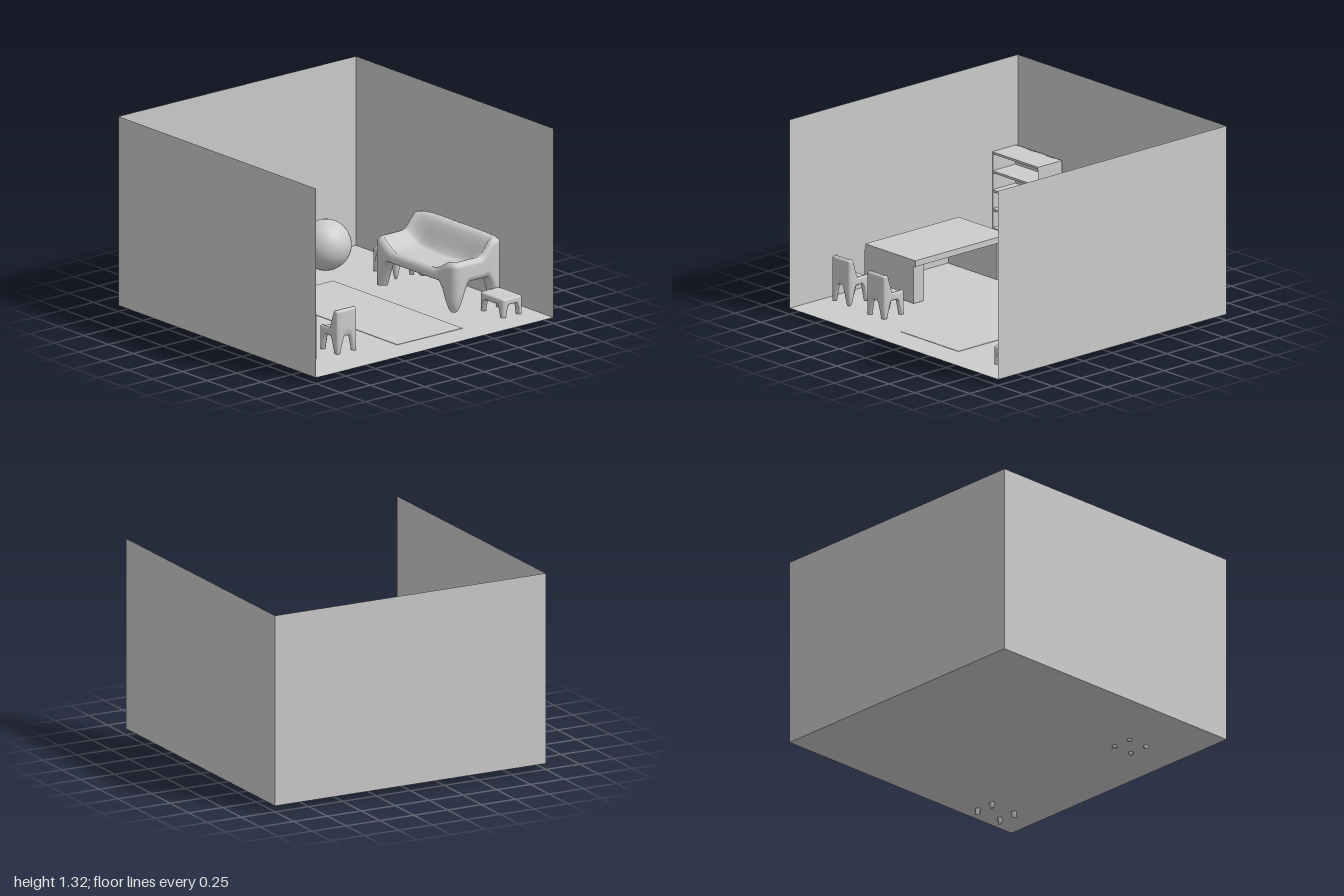
import * as THREE from 'three';

const grey = new THREE.MeshStandardMaterial({ color: 0xcccccc });
grey.name = 'light grey';
grey.side = THREE.DoubleSide;

const smooth = (a, b, v) => THREE.MathUtils.smoothstep(v, a, b);

// One-piece moulded seat: rings run from the middle of the top, over the rim,
// down the skirt to the arched legs and back along the underside. Its back is at -z.
function mouldedGeometry({ w, d, foot, arch, seat, back = seat, dip = 0, leg, wall, rim }) {
  const hw = w / 2, hd = d / 2, N = 96;
  const outline = [];
  for (let i = 0; i < N; i++) {
    const side = Math.floor(i / (N / 4)), t = (i % (N / 4)) / (N / 8) - 1;
    const [px, pz] = [[1, -t], [-t, -1], [-1, t], [t, 1]][side];
    const k = (px ** 8 + pz ** 8) ** (-1 / 8);
    outline.push([px * k, pz * k]);
  }
  const top = (u, v) => {
    const rise = smooth(0.1, 0.72, -v);
    const hollow = dip * (1 - smooth(0.5, 0.95, Math.abs(u))) * (1 - rise);
    return seat - hollow + (back - seat) * rise;
  };
  const bottom = (u, v) => {
    const fromCorner = Math.max(hw * (1 - Math.abs(u)), hd * (1 - Math.abs(v)));
    return foot + (arch - foot) * smooth(0.3 * leg, 1.3 * leg, fromCorner);
  };
  const pos = [], idx = [];
  let rings = 0;
  const ring = (f) => {
    outline.forEach(([u, v]) => pos.push(...f(u, v)));
    rings++;
  };
  for (const s of [0, 0.15, 0.3, 0.45, 0.58, 0.7, 0.8, 0.88])
    ring((u, v) => [u * s * hw, top(u * s, v * s), v * s * hd]);
  for (const a of [0, 0.35, 0.7, 1]) {
    const inset = rim * (1 - Math.sin(a * Math.PI / 2)), drop = rim * (1 - Math.cos(a * Math.PI / 2));
    ring((u, v) => [u * (hw - inset), top(u, v) - drop, v * (hd - inset)]);
  }
  for (const k of [0.35, 0.7, 1])
    ring((u, v) => [u * hw, THREE.MathUtils.lerp(top(u, v) - rim, bottom(u, v), k), v * hd]);
  ring((u, v) => [u * (hw - wall), bottom(u, v), v * (hd - wall)]);
  ring((u, v) => [u * (hw - wall * 1.3), arch + 0.005, v * (hd - wall * 1.3)]);
  ring(() => [0, arch + 0.005, 0]);
  for (let r = 0; r < rings - 1; r++) for (let j = 0; j < N; j++) {
    const n = (j + 1) % N, a = r * N + j, b = a + N, c = (r + 1) * N + n, e = r * N + n;
    idx.push(a, b, c, a, c, e);
  }
  const g = new THREE.BufferGeometry();
  g.setAttribute('position', new THREE.Float32BufferAttribute(pos, 3));
  g.setIndex(idx);
  g.computeVertexNormals();
  return g;
}

export function createModel() {
  const room = new THREE.Group();
  room.name = 'room';
  const add = (name, geometry, x, y, z, parent = room) => {
    const m = new THREE.Mesh(geometry, grey);
    m.name = name;
    m.position.set(x, y, z);
    parent.add(m);
    return m;
  };
  // Box given by its limits on each axis
  const box = (name, [x0, x1], [y0, y1], [z0, z1], parent) =>
    add(name, new THREE.BoxGeometry(x1 - x0, y1 - y0, z1 - z0),
      (x0 + x1) / 2, (y0 + y1) / 2, (z0 + z1) / 2, parent);

  // Shell of the room: floor and three sheets, open on +x
  const base = 0.045, height = 1.285, mid = base + height / 2;
  add('floor', new THREE.PlaneGeometry(2, 2), 0, base, 0).rotation.x = -Math.PI / 2;
  add('backWall', new THREE.PlaneGeometry(2, height), 0, mid, -1);
  add('frontWall', new THREE.PlaneGeometry(2, height), 0, mid, 1).rotation.y = Math.PI;
  add('sideWall', new THREE.PlaneGeometry(2, height), -1, mid, 0).rotation.y = Math.PI / 2;
  box('rug', [-0.51, 0.8], [base, 0.048], [-0.4, 0.15]);

  // Ball
  add('ball', new THREE.SphereGeometry(0.168, 32, 20), -0.757, 0.203, -0.543);

  // Moulded sofa, side stools and chairs
  add('sofa', mouldedGeometry({
    w: 0.82, d: 0.44, foot: 0.065, arch: 0.26, seat: 0.395, back: 0.5,
    dip: 0.07, leg: 0.11, wall: 0.05, rim: 0.035,
  }), 0.165, 0, -0.725);
  const stool = mouldedGeometry({
    w: 0.24, d: 0.172, foot: 0, arch: 0.125, seat: 0.165, leg: 0.04, wall: 0.022, rim: 0.012,
  });
  add('rightStool', stool, 0.685, 0.005, -0.82);
  add('leftStool', stool, -0.385, 0.05, -0.808);
  const chair = mouldedGeometry({
    w: 0.175, d: 0.185, foot: 0, arch: 0.13, seat: 0.18, back: 0.308,
    dip: 0.015, leg: 0.05, wall: 0.02, rim: 0.015,
  });
  for (const [y, z] of [[0.03, 0.497], [0.055, 0.832]])
    add('chair', chair, 0.62, y, z).rotation.y = -Math.PI / 2;

  // Desk
  const desk = new THREE.Group();
  desk.name = 'desk';
  room.add(desk);
  box('deskTop', [-0.45, 0.37], [0.312, 0.353], [0.485, 0.965], desk);
  for (const x of [-0.45, 0.28])
    box('deskLeg', [x, x + 0.09], [0.058, 0.312], [0.5, 0.97], desk);

  // Bookcase
  const bookcase = new THREE.Group();
  bookcase.name = 'bookcase';
  room.add(bookcase);
  box('bookcaseBack', [-0.98, -0.972], [0.06, 0.72], [0.558, 0.992], bookcase);
  for (const z of [0.555, 0.991])
    box('bookcaseSide', [-0.98, -0.772], [0.06, 0.72], [z, z + 0.004], bookcase);
  for (let i = 0; i < 6; i++) {
    const y = 0.72 - i * 0.129;
    box('shelf', [-0.971, -0.77], [y - 0.015, y], [0.558, 0.992], bookcase);
  }
  return room;
}
